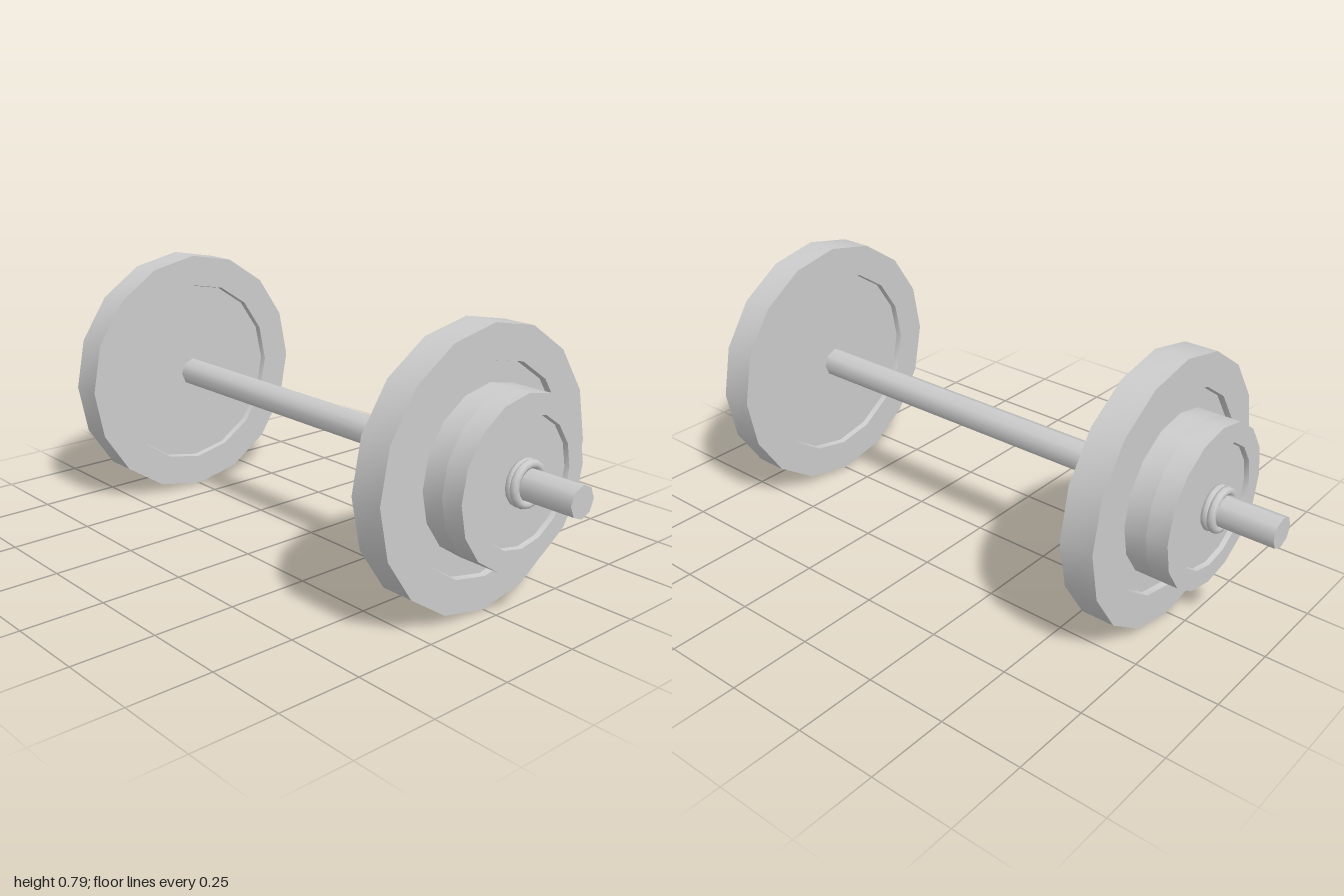
import * as THREE from 'three';
import { toCreasedNormals } from 'three/addons/utils/BufferGeometryUtils.js';

const material = new THREE.MeshStandardMaterial({ color: 0xcccccc });
const AXIS_Y = 0.397;
const BAR_RADIUS = 0.045;

function part(name, geometry, z = 0) {
  const mesh = new THREE.Mesh(geometry, material);
  mesh.name = name;
  mesh.position.z = z;
  return mesh;
}

// Weight disc along z, with a shallow recess on both faces
function plateGeometry(radius, recessRadius, thickness, depth) {
  const h = thickness / 2;
  const half = [
    [BAR_RADIUS - 0.005, h - depth],
    [recessRadius - 0.003, h - depth],
    [recessRadius, h],
    [radius, h],
  ];
  const profile = [
    ...half.map(([r, y]) => new THREE.Vector2(r, -y)),
    ...half.reverse().map(([r, y]) => new THREE.Vector2(r, y)),
  ];
  const geometry = new THREE.LatheGeometry(profile, 16).rotateX(Math.PI / 2);
  return toCreasedNormals(geometry, 0.6);
}

export function createModel() {
  const model = new THREE.Group();
  model.name = 'dumbbell';
  const assembly = new THREE.Group();
  assembly.name = 'barAndWeights';
  assembly.position.y = AXIS_Y;
  model.add(assembly);

  // Octagonal bar with smooth sides
  const bar = new THREE.CylinderGeometry(BAR_RADIUS, BAR_RADIUS, 2, 8).rotateX(Math.PI / 2);
  assembly.add(part('bar', bar));

  const large = plateGeometry(0.395, 0.297, 0.1, 0.018);
  const small = plateGeometry(0.237, 0.18, 0.065, 0.014);
  const ring = new THREE.TorusGeometry(0.054, 0.0125, 8, 16);

  // The two stacks sit at slightly different distances from the middle
  const stacks = [
    { name: 'front', side: 1, start: 0.605, rings: [0.819, 0.833] },
    { name: 'back', side: -1, start: 0.59, rings: [0.808, 0.826] },
  ];
  for (const { name, side, start, rings } of stacks) {
    const stack = new THREE.Group();
    stack.name = name + 'Weights';
    stack.add(part('largePlate', large, side * (start + 0.05)));
    stack.add(part('innerSmallPlate', small, side * (start + 0.121)));
    stack.add(part('outerSmallPlate', small, side * (start + 0.1855)));
    // Locking rings against the outer plate
    rings.forEach((z) => stack.add(part('collarRing', ring, side * z)));
    assembly.add(stack);
  }
  return model;
}
